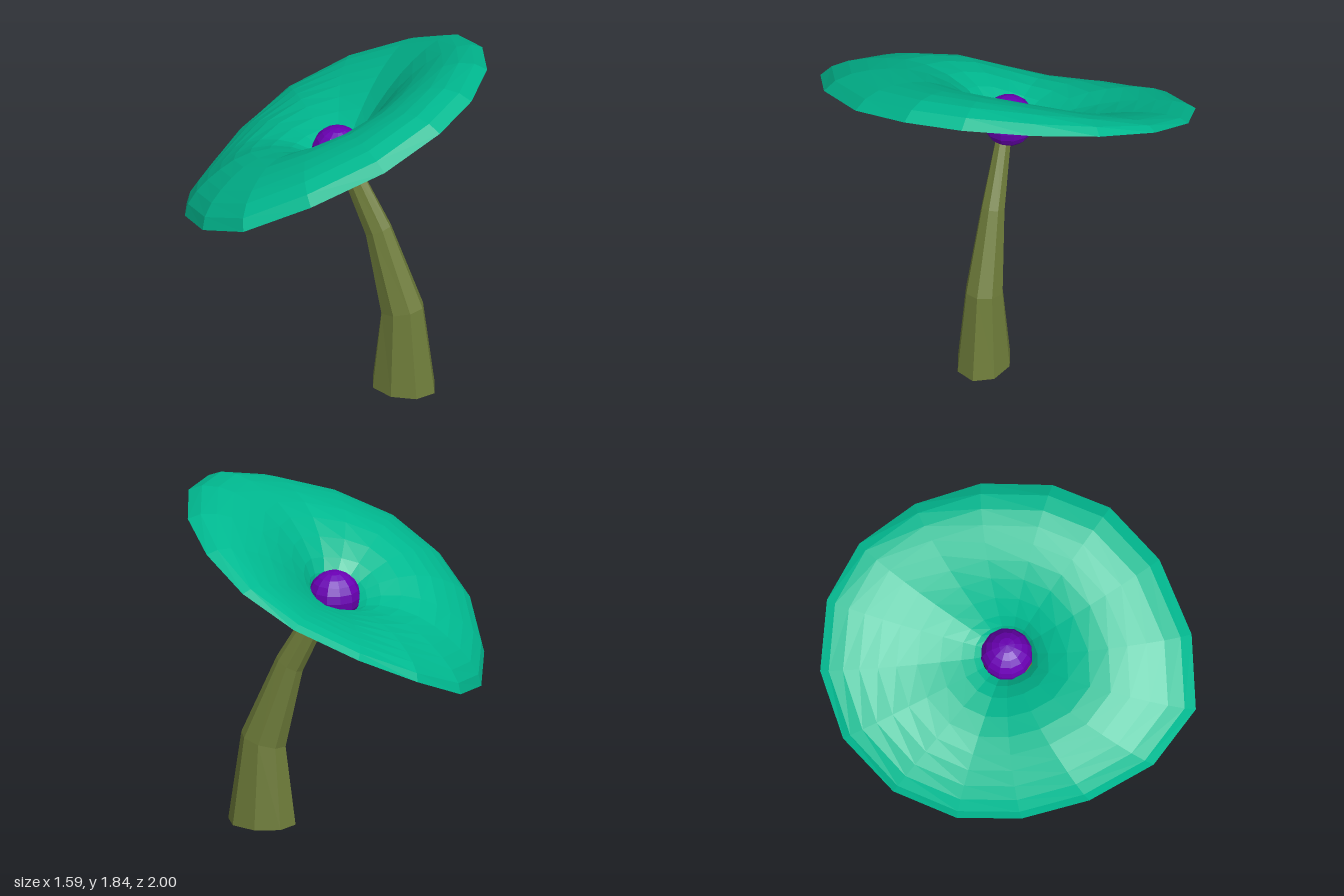
import * as THREE from 'three';

// Skin closed rings of points into a faceted, open surface
function loft(name, rings, color) {
  const n = rings[0].length, pos = [], idx = [];
  rings.forEach(r => r.forEach(p => pos.push(p.x, p.y, p.z)));
  for (let i = 0; i < rings.length - 1; i++) {
    for (let j = 0; j < n; j++) {
      const a = i * n + j, b = i * n + (j + 1) % n, c = a + n, d = b + n;
      idx.push(a, c, b, b, c, d);
    }
  }
  const g = new THREE.BufferGeometry();
  g.setAttribute('position', new THREE.Float32BufferAttribute(pos, 3));
  g.setIndex(idx);
  g.computeVertexNormals();
  const mesh = new THREE.Mesh(g, new THREE.MeshStandardMaterial({ color, flatShading: true, side: THREE.DoubleSide }));
  mesh.name = name;
  return mesh;
}

export function createModel() {
  const group = new THREE.Group();

  // Stem: eight-sided rings [left x, left y, right x, right y, half depth]
  const stemRings = [
    [0.213, 0, 0.578, 0, 0.142],
    [0.267, 0.43, 0.507, 0.49, 0.1],
    [0.175, 0.86, 0.315, 0.93, 0.063],
    [0.035, 1.17, 0.135, 1.235, 0.042],
  ].map(([x0, y0, x1, y1, d]) => Array.from({ length: 8 }, (_, k) => {
    const a = -k * Math.PI / 4, t = (1 + Math.cos(a)) / 2;
    return new THREE.Vector3(x0 + (x1 - x0) * t, y0 + (y1 - y0) * t, -0.03 + d * Math.sin(a));
  }));
  group.add(loft('stem', stemRings, 0x6e7c3a));

  // Flower cup: uneven tilted rim, carried inward to the throat by a rounded profile
  const rim = [
    [0.79, 1.81, -0.04], [0.775, 1.775, 0.28], [0.62, 1.66, 0.6], [0.33, 1.51, 0.87],
    [0, 1.34, 1], [-0.31, 1.2, 0.87], [-0.56, 1.08, 0.6], [-0.72, 0.95, 0.28],
    [-0.8, 0.89, -0.05], [-0.79, 0.97, -0.4], [-0.65, 1.14, -0.72], [-0.39, 1.31, -0.93],
    [-0.06, 1.47, -1], [0.24, 1.61, -0.92], [0.5, 1.72, -0.7], [0.69, 1.79, -0.4],
  ].map(p => new THREE.Vector3(...p));
  const throat = new THREE.Vector3(0, 1.28, -0.035);
  const axis = new THREE.Vector3(-0.5, 0.866, 0);
  // [share of the way to the rim, lift along the axis]
  const profile = [
    [0.138, -0.005], [0.175, 0.04], [0.24, 0.085], [0.35, 0.13], [0.47, 0.158],
    [0.58, 0.165], [0.68, 0.155], [0.78, 0.135], [0.87, 0.105], [0.95, 0.058], [1, 0],
  ];
  // The back rises less, the right more, and the throat lies flatter than the rim
  const cupRings = profile.map(([s, h]) => rim.map(r => {
    const slant = (0.25 * r.z - 0.3 * r.x) * s * (1 - s) ** 2;
    const lift = h * (1 - 0.5 * Math.min(r.z, 0) ** 2 + 0.2 * r.x) + slant;
    return throat.clone().lerp(r, s).addScaledVector(axis, lift);
  }));
  group.add(loft('flowerCup', cupRings, 0x00ba91));

  // Round heart of the flower
  const heart = new THREE.Mesh(
    new THREE.SphereGeometry(0.137, 12, 10),
    new THREE.MeshStandardMaterial({ color: 0x6a00b4, flatShading: true }));
  heart.name = 'flowerHeart';
  heart.position.set(0.002, 1.3, -0.035);
  group.add(heart);

  return group;
}
